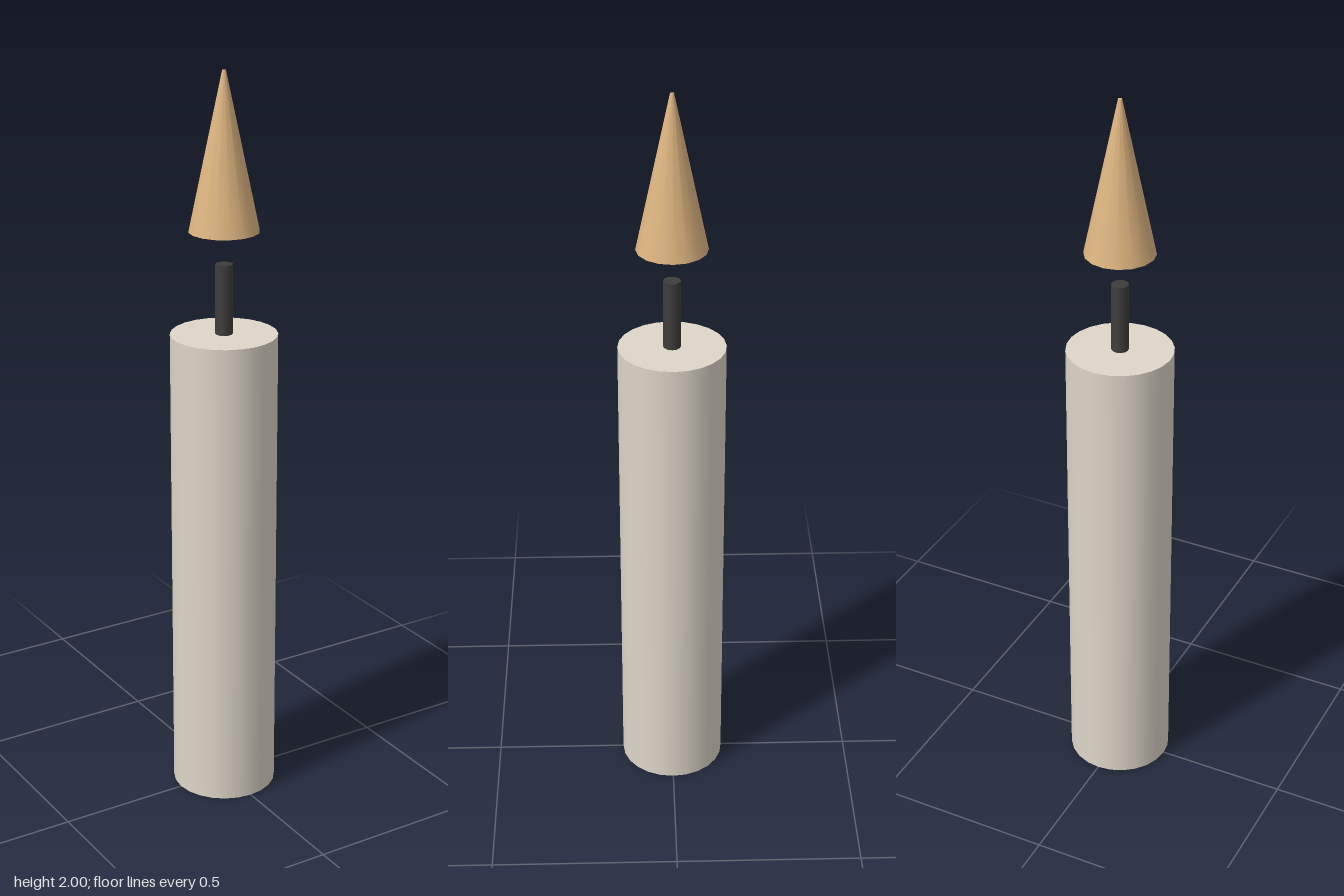
import * as THREE from 'three';

const paint = (name, color) => {
  const material = new THREE.MeshStandardMaterial({ color });
  material.name = name;
  return material;
};

// Upright round part spanning bottom..top
function roundPart(name, material, bottom, top, bottomRadius, topRadius, sides) {
  const geometry = new THREE.CylinderGeometry(topRadius, bottomRadius, top - bottom, sides);
  const mesh = new THREE.Mesh(geometry, material);
  mesh.name = name;
  mesh.position.y = (bottom + top) / 2;
  return mesh;
}

export function createModel() {
  const model = new THREE.Group();
  model.name = 'candle';
  model.add(
    roundPart('waxBody', paint('cream wax', 0xded6c8), 0, 1.312, 0.142, 0.142, 24),
    roundPart('wick', paint('charcoal', 0x403e3c), 1.312, 1.5, 0.023, 0.023, 12),
    // The flame floats above the wick and has a tiny blunt tip
    roundPart('flame', paint('warm amber', 0xdeb580), 1.587, 2, 0.093, 0.005, 16),
  );
  return model;
}
